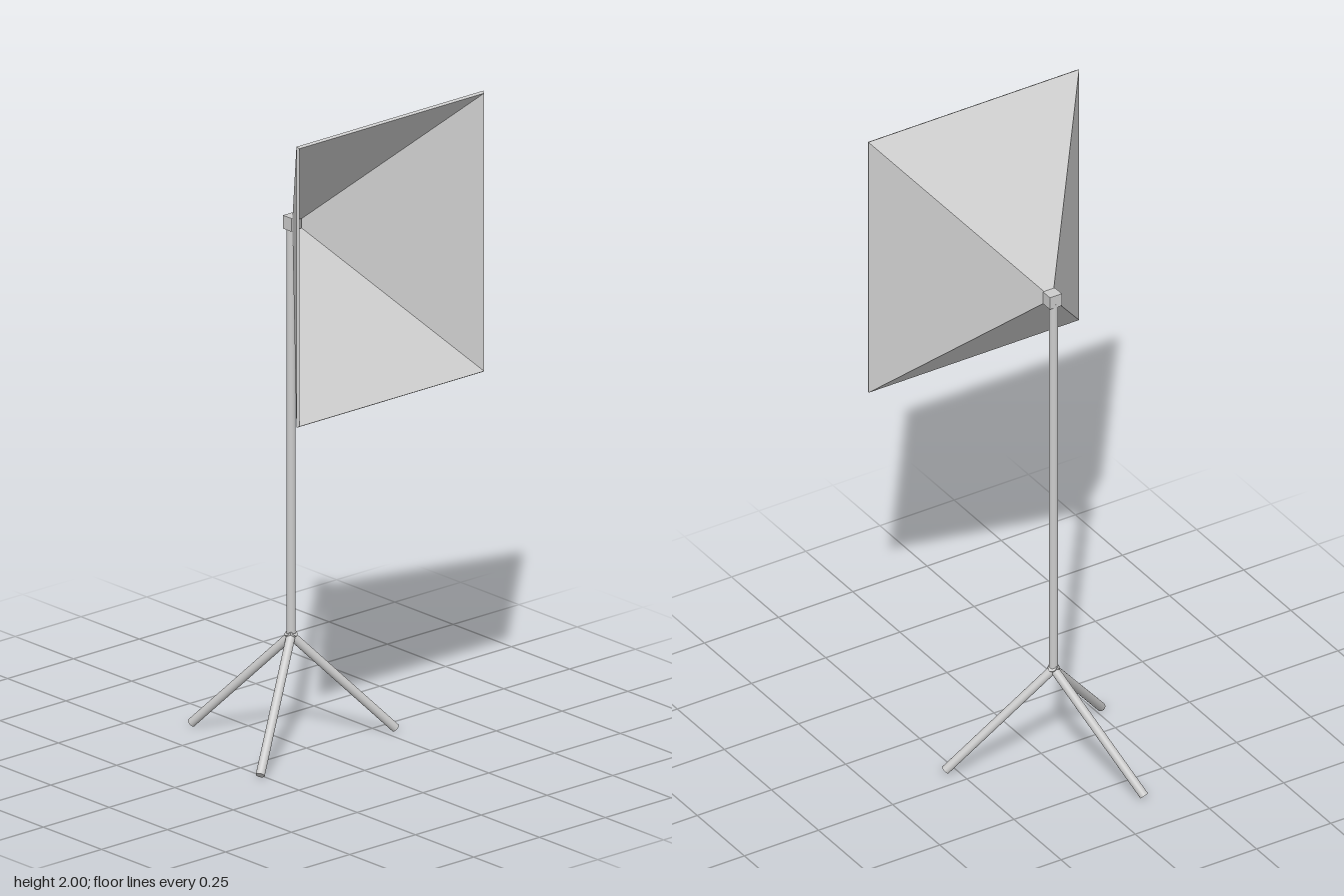
import * as THREE from 'three';

const smooth = new THREE.MeshStandardMaterial({ color: 0xcccccc });
const flat = new THREE.MeshStandardMaterial({ color: 0xcccccc, flatShading: true, side: THREE.DoubleSide });
const TUBE_RADIUS = 0.013;

function addMesh(parent, name, geometry, material) {
  const mesh = new THREE.Mesh(geometry, material);
  mesh.name = name;
  parent.add(mesh);
  return mesh;
}

// Round capped bar between two points
function addBar(parent, name, from, to) {
  const axis = to.clone().sub(from);
  const bar = addMesh(parent, name, new THREE.CylinderGeometry(TUBE_RADIUS, TUBE_RADIUS, axis.length(), 32), smooth);
  bar.position.copy(from).add(to).multiplyScalar(0.5);
  bar.quaternion.setFromUnitVectors(new THREE.Vector3(0, 1, 0), axis.normalize());
}

// Hollow four-sided funnel with thin walls, opening towards +x
function funnelGeometry() {
  const profile = [
    [0.016, -0.042], [0.355, 0.358], // outer wall
    [0.351, 0.366], [0.012, -0.034], // rim and inner wall
    [0.016, -0.042],
  ].map(([half, along]) => new THREE.Vector2(half * Math.SQRT2, along));
  const geometry = new THREE.LatheGeometry(profile, 4, Math.PI / 4)
    .scale(0.425 / 0.355, 1, 1)
    .rotateZ(-Math.PI / 2)
    .toNonIndexed();
  geometry.computeVertexNormals();
  return geometry;
}

export function createModel() {
  const model = new THREE.Group();
  model.name = 'reflectorOnStand';
  const poleX = -0.066;
  const headY = 1.575;

  // Upright pole
  addBar(model, 'pole', new THREE.Vector3(poleX, 0.32, 0), new THREE.Vector3(poleX, 1.565, 0));

  // Three splayed legs, overshooting the joint slightly
  const tripod = new THREE.Group();
  tripod.name = 'tripod';
  model.add(tripod);
  const joint = new THREE.Vector3(poleX, 0.324, 0);
  for (const [x, z] of [[-0.357, 0.121], [0.103, 0.267], [0.06, -0.285]]) {
    const foot = new THREE.Vector3(x, 0.0092, z);
    const top = joint.clone().add(joint.clone().sub(foot).setLength(0.014));
    addBar(tripod, 'leg', foot, top);
  }

  // Block joining the pole to the reflector
  addMesh(model, 'mountBlock', new THREE.BoxGeometry(0.037, 0.04, 0.04), flat).position.set(-0.06, headY, 0);

  // Pyramid-shaped reflector
  addMesh(model, 'reflector', funnelGeometry(), flat).position.y = headY;

  return model;
}
